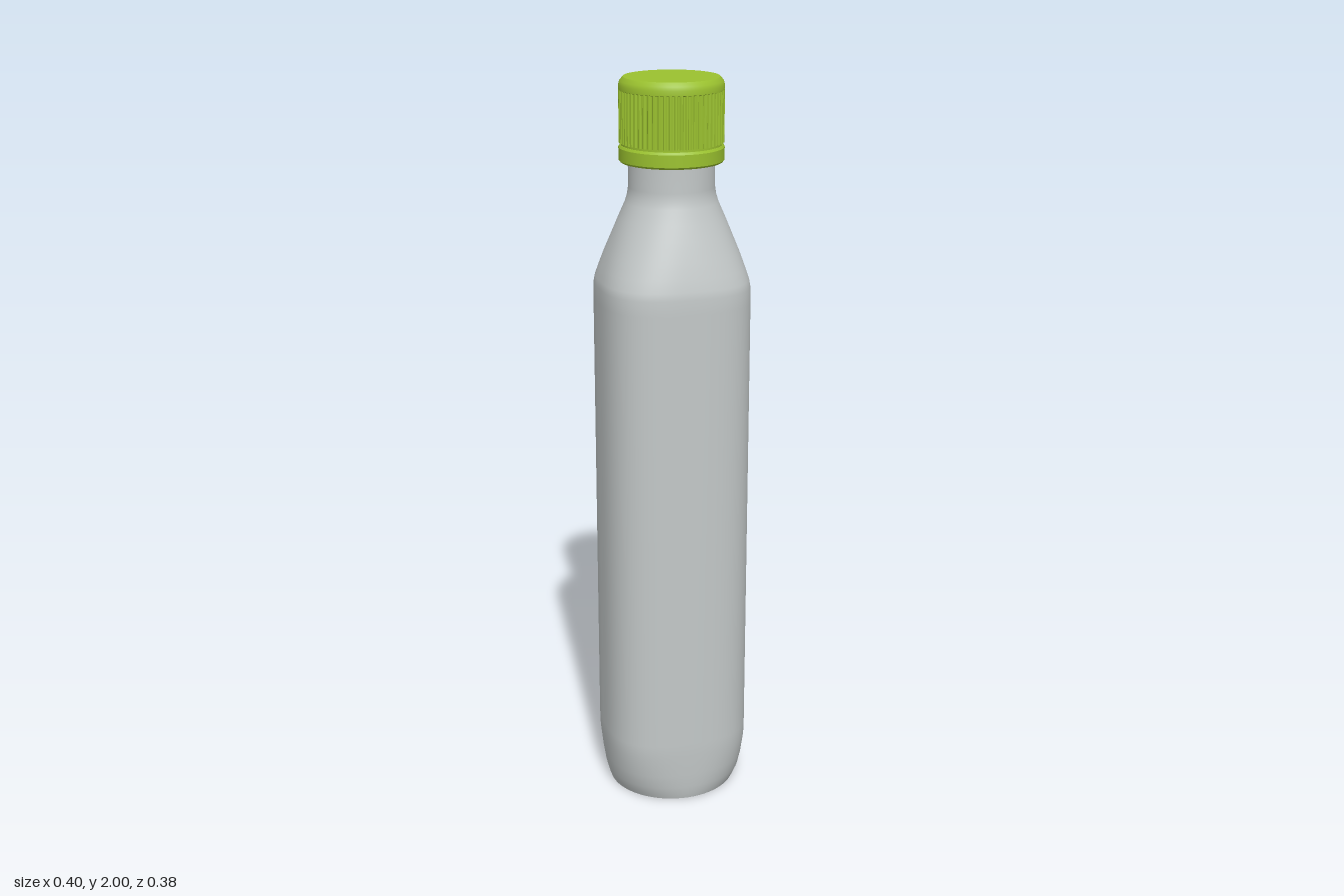
import * as THREE from 'three';
import { toCreasedNormals } from 'three/addons/utils/BufferGeometryUtils.js';

const SIDES = 72;

// Smooth skin through superellipse rings: [y, half width, half depth, exponent]
function loft(rings) {
  const pos = [], index = [];
  rings.forEach(([y, a, b, n], r) => {
    for (let i = 0; i < SIDES; i++) {
      const t = (i / SIDES) * Math.PI * 2, c = Math.cos(t), s = Math.sin(t);
      const k = Math.pow(Math.abs(c) ** n + Math.abs(s) ** n, -1 / n);
      pos.push(a * k * c, y, b * k * s);
      if (r === 0) continue;
      const j = (i + 1) % SIDES, lo = (r - 1) * SIDES, hi = r * SIDES;
      index.push(lo + i, hi + i, lo + j, lo + j, hi + i, hi + j);
    }
  });
  const g = new THREE.BufferGeometry();
  g.setAttribute('position', new THREE.Float32BufferAttribute(pos, 3));
  g.setIndex(index);
  g.computeVertexNormals();
  return g;
}

// Turned part with crisp edges: profile of [radius, y] from bottom to top
function turned(points) {
  const g = new THREE.LatheGeometry(points.map(([r, y]) => new THREE.Vector2(r, y)), SIDES);
  return toCreasedNormals(g, 0.5);
}

export function createModel() {
  const model = new THREE.Group();
  model.name = 'bottle';
  const bodyGrey = new THREE.MeshStandardMaterial({ color: 0xc3c8c8 });
  bodyGrey.name = 'body grey';
  const capGreen = new THREE.MeshStandardMaterial({ color: 0x9bc22f });
  capGreen.name = 'cap green';

  const add = (name, geometry, material, parent = model) => {
    const mesh = new THREE.Mesh(geometry, material);
    mesh.name = name;
    parent.add(mesh);
    return mesh;
  };

  // Rounded-square body, turning round at the base and the neck
  add('body', loft([
    [0, 0.178, 0.174, 2.0],
    [0.015, 0.183, 0.178, 2.1],
    [0.04, 0.189, 0.182, 2.3],
    [0.08, 0.194, 0.185, 2.55],
    [0.14, 0.199, 0.188, 2.8],
    [0.18, 0.2, 0.189, 2.8],
    [0.8, 0.2, 0.189, 2.8],
    [1.42, 0.2, 0.189, 2.8],
    [1.46, 0.199, 0.188, 2.8],
    [1.48, 0.196, 0.185, 2.75],
    [1.51, 0.187, 0.177, 2.6],
    [1.55, 0.174, 0.166, 2.4],
    [1.6, 0.155, 0.149, 2.2],
    [1.64, 0.139, 0.135, 2.1],
    [1.68, 0.122, 0.12, 2],
    [1.7, 0.116, 0.115, 2],
    [1.72, 0.113, 0.113, 2],
    [1.8, 0.113, 0.113, 2],
  ]), bodyGrey);

  // Flat underside
  const base = add('base', new THREE.CircleGeometry(1, SIDES), bodyGrey);
  base.rotation.x = Math.PI / 2;
  base.scale.set(0.178, 0.174, 1);

  // Screw cap: tamper band, ribbed grip and bevelled top
  const cap = new THREE.Group();
  cap.name = 'cap';
  model.add(cap);
  add('capBand', turned([
    [0.108, 1.785], [0.133, 1.785], [0.137, 1.79], [0.137, 1.822], [0.133, 1.828], [0.12, 1.828],
  ]), capGreen, cap);
  add('capTop', turned([
    [0.131, 1.82], [0.131, 1.965], [0.136, 1.968], [0.136, 1.98],
    [0.133, 1.99], [0.124, 2], [0, 2],
  ]), capGreen, cap);

  // Shallow vertical ribs around the grip
  const outline = [];
  const RIBS = 60;
  for (let i = 0; i < RIBS * 4; i++) {
    const a = (i / (RIBS * 4)) * Math.PI * 2, r = i % 4 < 2 ? 0.136 : 0.1325;
    outline.push(new THREE.Vector2(Math.cos(a) * r, Math.sin(a) * r));
  }
  const ribs = new THREE.ExtrudeGeometry(new THREE.Shape(outline), { depth: 0.136, bevelEnabled: false });
  ribs.rotateX(-Math.PI / 2);
  add('capRibs', ribs, capGreen, cap).position.y = 1.834;

  return model;
}
